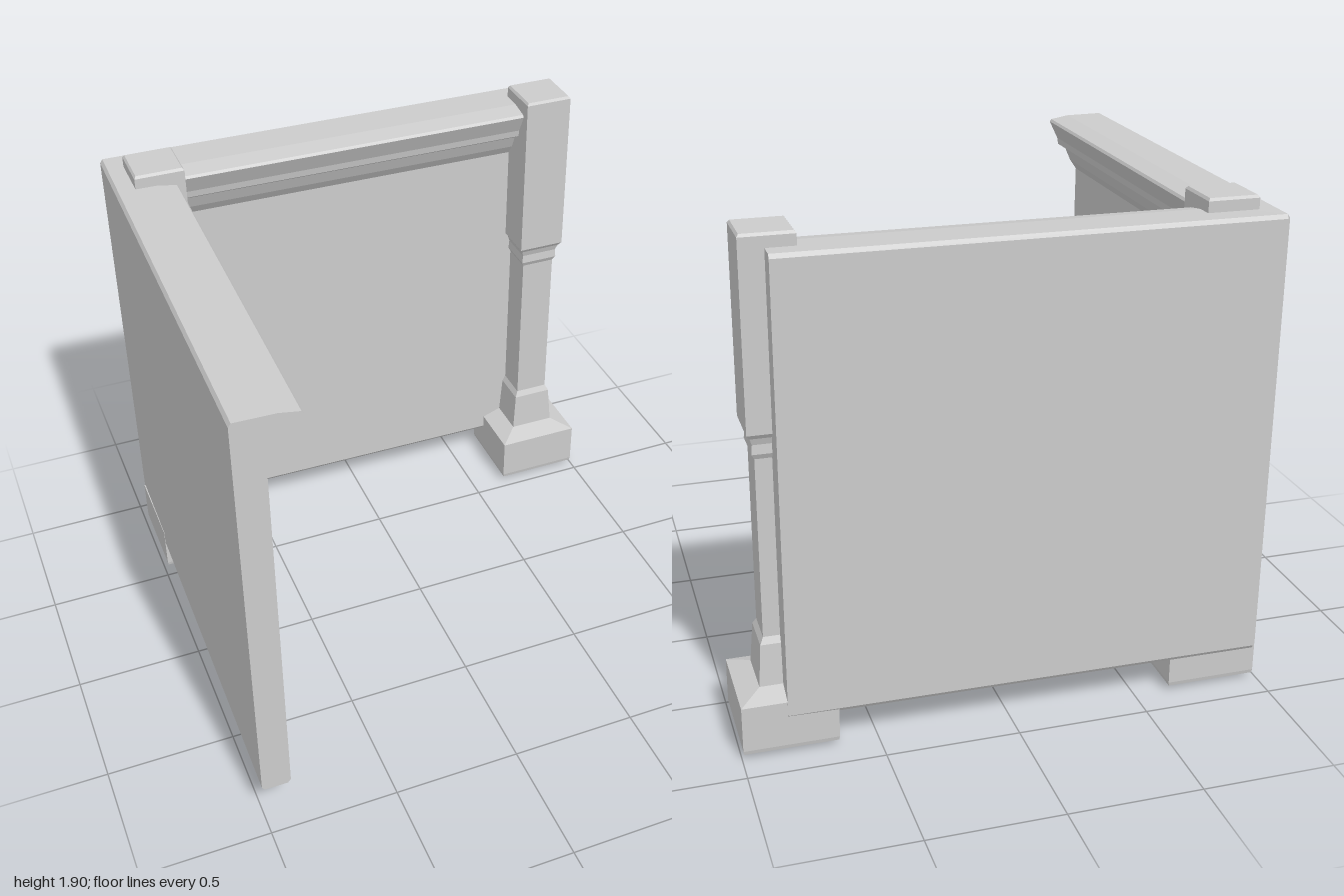
import * as THREE from 'three';

const material = new THREE.MeshStandardMaterial({ color: 0xcccccc, flatShading: true });

// Wall cross-section: distance from the outer face, height
const wallProfile = [
  [0.01, 0.14], [0.10, 0.14], [0.112, 0.155], [0.112, 1.605], [0.14, 1.645], [0.165, 1.70],
  [0.20, 1.722], [0.205, 1.75], [0.242, 1.825], [0.235, 1.835], [0.16, 1.848], [0.01, 1.85], [0, 1.835], [0, 0.155],
];

// Square post outline: half width, height
const postProfile = [
  [0, 0], [0.10, 0.003], [0.172, 0.02], [0.175, 0.035], [0.175, 0.21], [0.095, 0.24],
  [0.083, 0.40], [0.07, 0.425], [0.07, 1.11], [0.08, 1.13], [0.077, 1.165], [0.085, 1.19],
  [0.097, 1.207], [0.097, 1.89], [0.09, 1.9], [0, 1.9],
];

function makeWall(name, length) {
  const shape = new THREE.Shape(wallProfile.map(([d, y]) => new THREE.Vector2(d, y)));
  const geometry = new THREE.ExtrudeGeometry(shape, { depth: length, bevelEnabled: false });
  geometry.translate(0, 0, -length / 2);
  const mesh = new THREE.Mesh(geometry, material);
  mesh.name = name;
  return mesh;
}

function makePost(name, x, z) {
  // Four-sided lathe, turned so its faces align with the axes
  const points = postProfile.map(([w, y]) => new THREE.Vector2(w * Math.SQRT2, y));
  const mesh = new THREE.Mesh(new THREE.LatheGeometry(points, 4, Math.PI / 4), material);
  mesh.name = name;
  mesh.position.set(x, 0, z);
  return mesh;
}

export function createModel() {
  const model = new THREE.Group();
  model.name = 'cornerWall';

  // Side wall, very slightly splayed
  const sideWall = makeWall('sideWall', 1.81);
  sideWall.position.set(-0.99, 0, 0.005);
  sideWall.rotation.y = -0.01;

  // Back wall, its moulding facing forward
  const backWall = makeWall('backWall', 1.80);
  backWall.position.set(-0.07, 0, -0.901);
  backWall.rotation.y = -Math.PI / 2 - 0.01;

  model.add(sideWall, backWall);
  model.add(makePost('cornerPost', -0.811, -0.715), makePost('endPost', 0.82, -0.715));
  return model;
}
